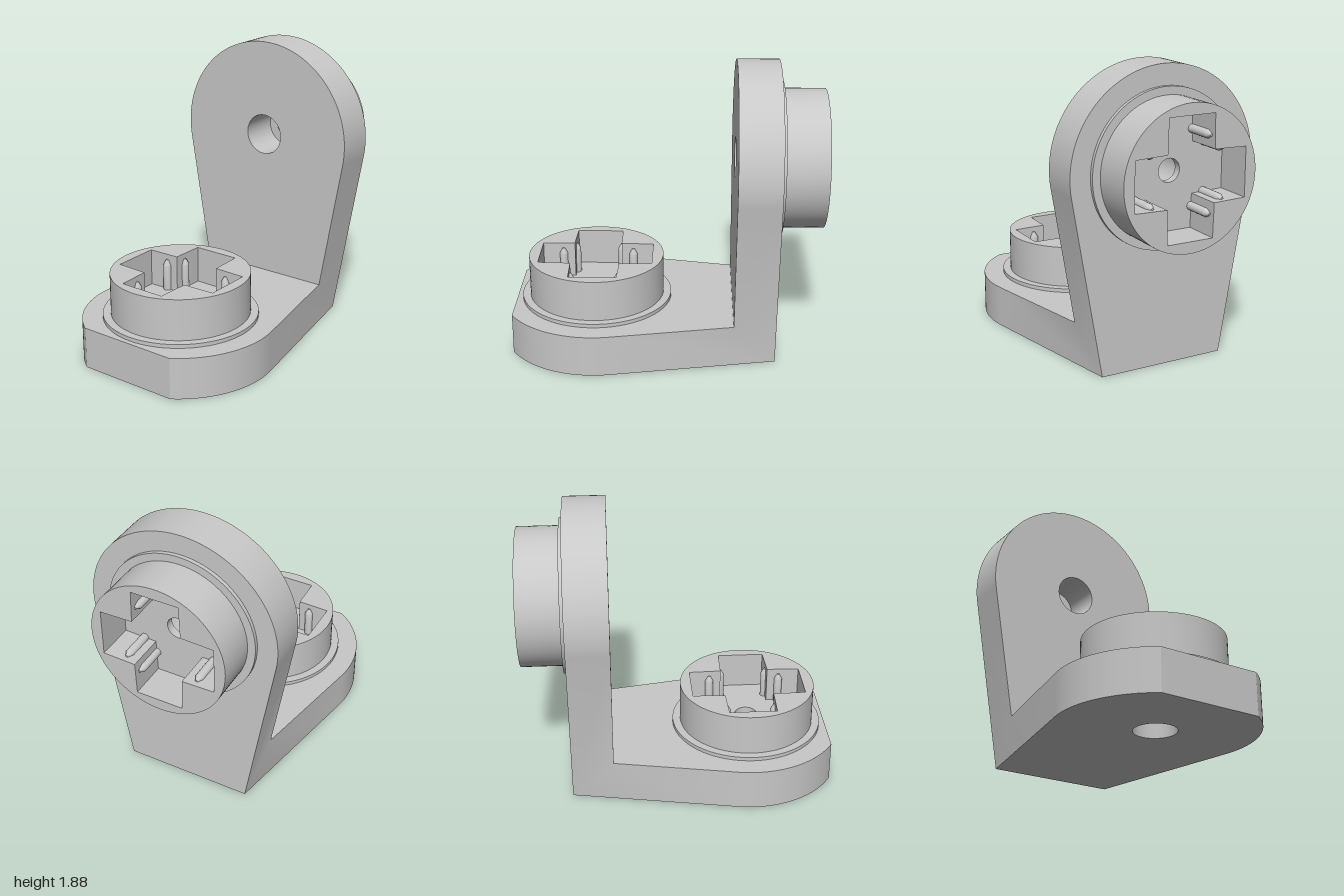
import * as THREE from 'three';
import { mergeGeometries, toCreasedNormals } from 'three/addons/utils/BufferGeometryUtils.js';

const T = 0.27;                        // plate thickness
const R = 0.628;                       // radius of the rounded plate end
const W = 0.42, W_INNER = 0.467;       // half widths of the outer and inner corner edges
const BACK = -0.705;                   // z of the upright's back face
const FLOOR = 0.322, RIM = 0.565;      // pocket floor and socket rim above the plate's far face

const grey = new THREE.MeshStandardMaterial({ color: 0xc8c8c8 });
grey.name = 'plain grey';

function part(name, geometry) {
  const mesh = new THREE.Mesh(geometry, grey);
  mesh.name = name;
  return mesh;
}

function disc(radius) {
  return new THREE.Shape().absarc(0, 0, radius, 0, Math.PI * 2, false);
}

function hole(radius, y = 0) {
  return new THREE.Path().absarc(0, y, radius, 0, Math.PI * 2, true);
}

function extrude(shape, z0, z1) {
  const g = new THREE.ExtrudeGeometry(shape, { depth: z1 - z0, bevelEnabled: false, curveSegments: 40 });
  return g.translate(0, 0, z0);
}

// Tapered plate: corner edge at y = 0, rounded end centred at y = c, optionally cut flat
function plate({ c, flat, innerZ }) {
  const t = Math.atan2(-c, W) + Math.acos(R / Math.hypot(W, c));
  const cut = Math.asin(flat / R);
  const s = new THREE.Shape();
  s.moveTo(-W, 0);
  s.lineTo(W, 0);
  s.lineTo(R * Math.cos(t), c + R * Math.sin(t));
  s.absarc(0, c, R, t, cut, false);
  s.absarc(0, c, R, Math.PI - cut, Math.PI - t, false);
  s.closePath();
  s.holes.push(hole(0.134, c));
  const p = extrude(s, 0, T).attributes.position;

  // Mitre the corner: slide the inner edge along the tapered sides
  for (let i = 0; i < p.count; i++) {
    if (Math.abs(p.getY(i)) < 1e-6 && Math.abs(p.getZ(i) - innerZ) < 1e-6) {
      p.setXYZ(i, Math.sign(p.getX(i)) * W_INNER, T, innerZ);
    }
  }

  // Leave out the mitre face, where the two plates join
  const kept = [];
  for (let i = 0; i < p.count; i += 3) {
    const top = Math.max(p.getY(i), p.getY(i + 1), p.getY(i + 2));
    if (top > T + 0.01) kept.push(...p.array.slice(i * 3, i * 3 + 9));
  }
  return new THREE.BufferGeometry().setAttribute('position', new THREE.Float32BufferAttribute(kept, 3));
}

// Round socket with a cross-shaped pocket and eight pointed pins
function socket(name) {
  const group = new THREE.Group();
  group.name = name;

  const collar = disc(0.497);
  collar.holes.push(hole(0.43));
  group.add(part('collar', toCreasedNormals(extrude(collar, T, 0.295), 0.4)));

  // Pocket arms narrow slightly from b at the middle to e at the ends
  const a = 0.373, b = 0.16, e = 0.154;
  const wall = disc(0.446);
  wall.holes.push(new THREE.Path([
    [a, e], [a, -e], [b, -b], [e, -a], [-e, -a], [-b, -b],
    [-a, -e], [-a, e], [-b, b], [-e, a], [e, a], [b, b],
  ].map(([x, y]) => new THREE.Vector2(x, y))));
  group.add(part('socketWall', toCreasedNormals(extrude(wall, T, RIM), 0.4)));

  const floor = disc(0.43);
  floor.holes.push(hole(0.073));
  group.add(part('socketFloor', toCreasedNormals(extrude(floor, T, FLOOR), 0.4)));

  // Pins half sunk into the pocket walls
  const profile = [[0.027, FLOOR - 0.005], [0.027, 0.495], [0.008, 0.53], [0, 0.53]]
    .map(([x, y]) => new THREE.Vector2(x, y));
  const pinGeometry = toCreasedNormals(new THREE.LatheGeometry(profile, 16).rotateX(Math.PI / 2), 0.5);
  for (const sx of [-1, 1]) {
    for (const sy of [-1, 1]) {
      for (const [x, y] of [[0.237, 0.155], [0.155, 0.237]]) {
        const pin = part('pin', pinGeometry);
        pin.position.set(sx * x, sy * y, 0);
        group.add(pin);
      }
    }
  }
  return group;
}

// Lying arm with its socket facing up, standing arm with its socket facing back
const arms = [
  {
    name: 'baseSocket', c: 1.176, flat: 0.529, innerZ: T,
    frame: new THREE.Matrix4()
      .makeRotationFromEuler(new THREE.Euler(-Math.PI / 2, Math.PI, 0, 'YXZ'))
      .setPosition(0, 0, BACK),
  },
  {
    name: 'uprightSocket', c: 1.25, flat: R, innerZ: 0,
    frame: new THREE.Matrix4().makeRotationY(Math.PI).setPosition(0, 0, BACK + T),
  },
];

export function createModel() {
  const model = new THREE.Group();
  model.name = 'angleBracket';

  const plates = mergeGeometries(arms.map((arm) => plate(arm).applyMatrix4(arm.frame)));
  model.add(part('bracketPlates', toCreasedNormals(plates, 0.4)));

  for (const { name, c, frame } of arms) {
    const s = socket(name);
    s.position.y = c;
    s.applyMatrix4(frame);
    model.add(s);
  }
  return model;
}
